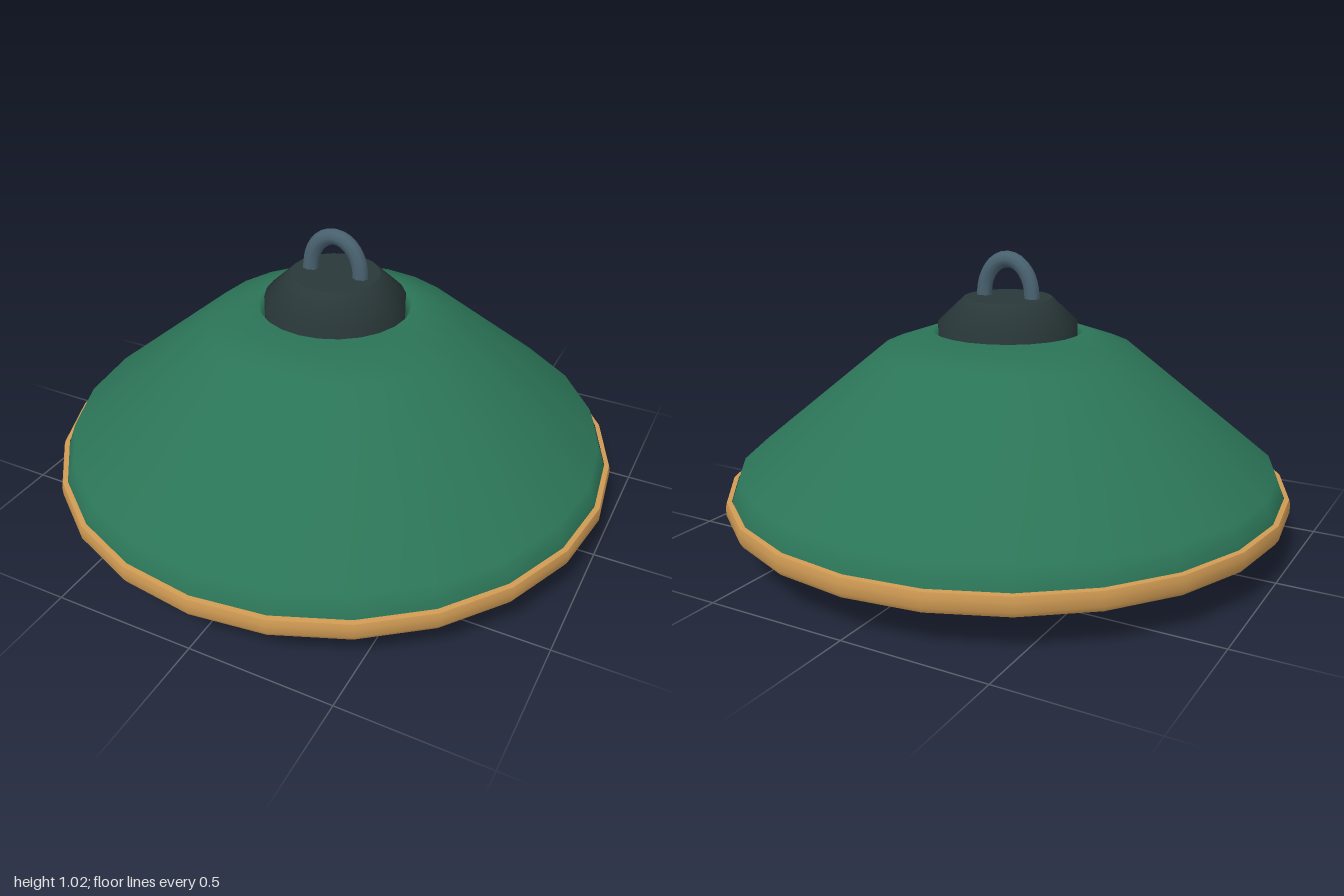
import * as THREE from 'three';

function material(name, color) {
  const mat = new THREE.MeshStandardMaterial({ color });
  mat.name = name;
  return mat;
}

// Revolved part; a repeated profile point makes a sharp edge
function lathe(name, profile, segments, mat) {
  const points = profile.map(([r, y]) => new THREE.Vector2(r, y));
  const mesh = new THREE.Mesh(new THREE.LatheGeometry(points, segments), mat);
  mesh.name = name;
  return mesh;
}

export function createModel() {
  const green = material('green enamel', 0x2b7457);
  const brass = material('brass', 0xcf9a53);
  const amber = material('amber glass', 0xdca058);
  const charcoal = material('charcoal', 0x2a3839);
  const steel = material('blue steel', 0x496270);

  const model = new THREE.Group();
  model.name = 'pendantLamp';

  // Thick shade: up the outside, over the neck, down the inside, across the lip
  model.add(lathe('shade', [
    [0.985, 0.14], [0.98, 0.19], [0.95, 0.27], [0.45, 0.68], [0.265, 0.745],
    [0.243, 0.66], [0.41, 0.615], [0.87, 0.24], [0.9, 0.145],
    [0.9, 0.145], [0.985, 0.135],
  ], 24, green));

  // Band around the lower edge
  model.add(lathe('rimBand', [
    [0.975, 0.132], [0.988, 0.132], [0.988, 0.132], [0.999, 0.15], [1, 0.18],
    [0.995, 0.198], [0.995, 0.198], [0.978, 0.2],
  ], 24, brass));

  // Socket passing through the neck of the shade
  model.add(lathe('socket', [
    [0, 0.33], [0.2, 0.33], [0.2, 0.33], [0.245, 0.4],
    [0.245, 0.775], [0.155, 0.86], [0.155, 0.86], [0, 0.86],
  ], 24, charcoal));

  // Bulb with a small flat underside
  model.add(lathe('bulb', [
    [0, 0], [0.1, 0], [0.1, 0], [0.228, 0.04], [0.272, 0.14], [0.257, 0.24],
    [0.2, 0.325], [0.13, 0.37], [0, 0.38],
  ], 20, amber));

  // Hanging loop: tall half ellipse on short legs, slightly flattened in depth
  const path = [new THREE.Vector3(-0.095, 0.835, 0)];
  for (let i = 0; i <= 8; i++) {
    const a = Math.PI * (1 - i / 8);
    path.push(new THREE.Vector3(0.095 * Math.cos(a), 0.865 + 0.126 * Math.sin(a), 0));
  }
  path.push(new THREE.Vector3(0.095, 0.835, 0));
  const loop = new THREE.Mesh(
    new THREE.TubeGeometry(new THREE.CatmullRomCurve3(path), 20, 0.029, 8), steel);
  loop.name = 'hangingLoop';
  loop.scale.z = 0.85;
  model.add(loop);

  return model;
}
